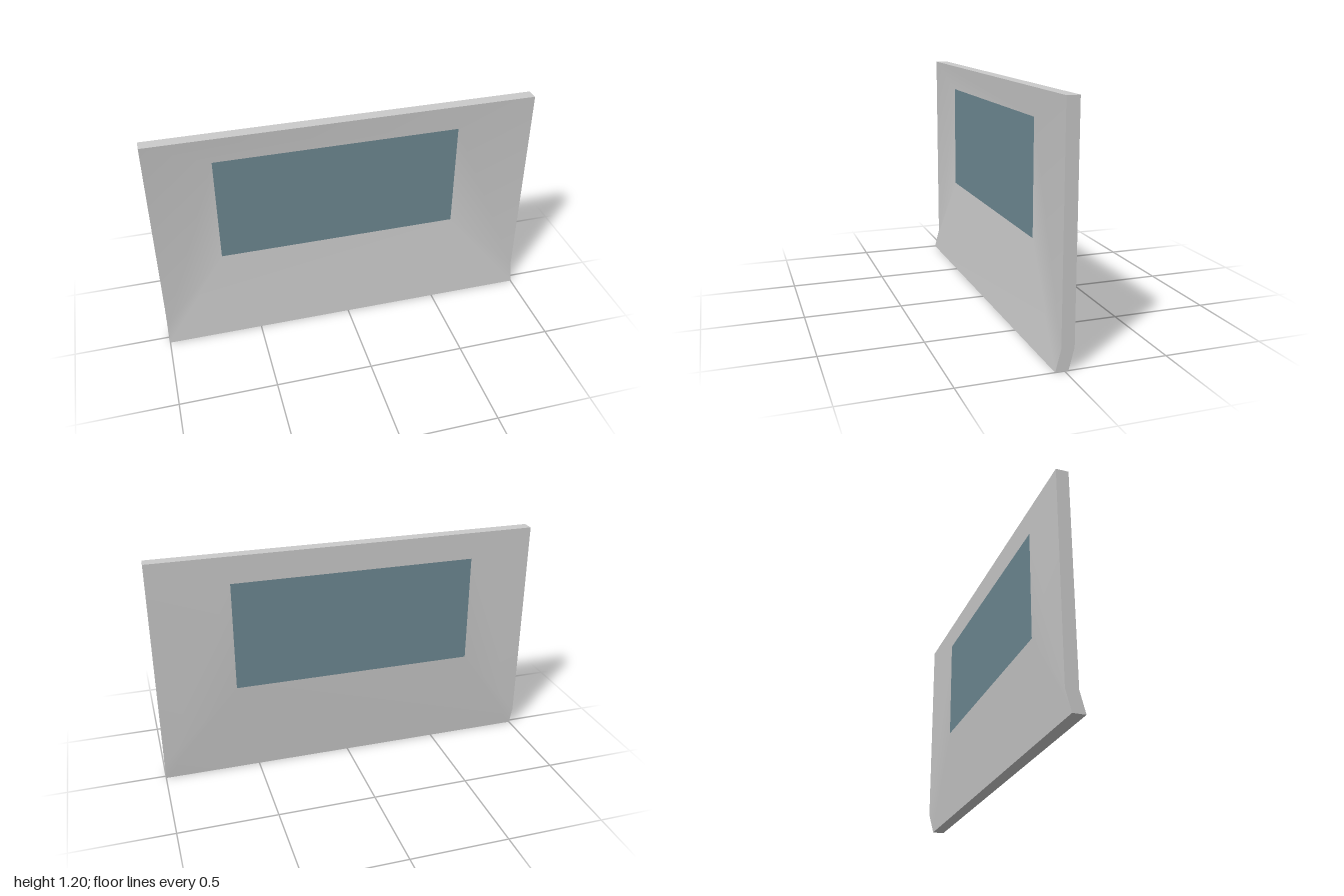
import * as THREE from 'three';

// Corners clockwise from the top left (seen from the front): six on the rim, four round the window
const rim = [[-1, 1.2], [1, 1.2], [1, 0.105], [1, 0], [-1, 0], [-1, 0.105]];
const pane = { left: -0.67, right: 0.6, bottom: 0.49, top: 1.06, front: -0.003, back: -0.045 };
const opening = [[pane.left, pane.top], [pane.right, pane.top],
  [pane.right, pane.bottom], [pane.left, pane.bottom]];

// Triangles joining the rim (0-5) to the window opening (6-9)
const faces = [
  [0, 6, 7], [0, 7, 1],             // above the window
  [1, 7, 2], [7, 8, 2], [2, 8, 3],  // right of it
  [8, 9, 4], [8, 4, 3],             // below it
  [0, 5, 6], [5, 9, 6], [5, 4, 9],  // left of it
];

// The upper rim is upright, the foot kicks forward
function sidePoints(zRim, zFoot, zPane) {
  return [
    ...rim.map(([x, y]) => [x, y, y === 0 ? zFoot : zRim]),
    ...opening.map(([x, y]) => [x, y, zPane]),
  ];
}

function build(points, triangles, flat) {
  let geometry = new THREE.BufferGeometry();
  geometry.setAttribute('position', new THREE.Float32BufferAttribute(points.flat(), 3));
  geometry.setIndex(triangles.flat());
  if (flat) geometry = geometry.toNonIndexed();
  geometry.computeVertexNormals();
  return geometry;
}

export function createModel() {
  const group = new THREE.Group();
  group.name = 'windowPanel';
  const grey = new THREE.MeshStandardMaterial({ color: 0xcccccc });
  const glass = new THREE.MeshStandardMaterial({ color: 0x6e8993 });
  const add = (name, geometry, material) => {
    const mesh = new THREE.Mesh(geometry, material);
    mesh.name = name;
    group.add(mesh);
    return mesh;
  };

  // Dished front and flat back, each smooth across its own surface
  const front = sidePoints(0.018, 0.045, pane.front);
  const back = sidePoints(-0.045, -0.018, pane.back);
  add('frontSkin', build(front, faces), grey);
  add('backSkin', build(back, faces.map(([a, b, c]) => [a, c, b])), grey);

  // Edge strip closing the rim
  const n = rim.length;
  const strip = [];
  for (let i = 0; i < n; i++) {
    const j = (i + 1) % n;
    strip.push([i, j, n + j], [i, n + j, n + i]);
  }
  add('rimEdge', build([...front.slice(0, n), ...back.slice(0, n)], strip, true), grey);

  // Window pane, flush with the opening on both sides
  const box = new THREE.BoxGeometry(
    pane.right - pane.left, pane.top - pane.bottom, pane.front - pane.back);
  add('windowPane', box, glass).position.set(
    (pane.left + pane.right) / 2, (pane.top + pane.bottom) / 2, (pane.front + pane.back) / 2);

  return group;
}
